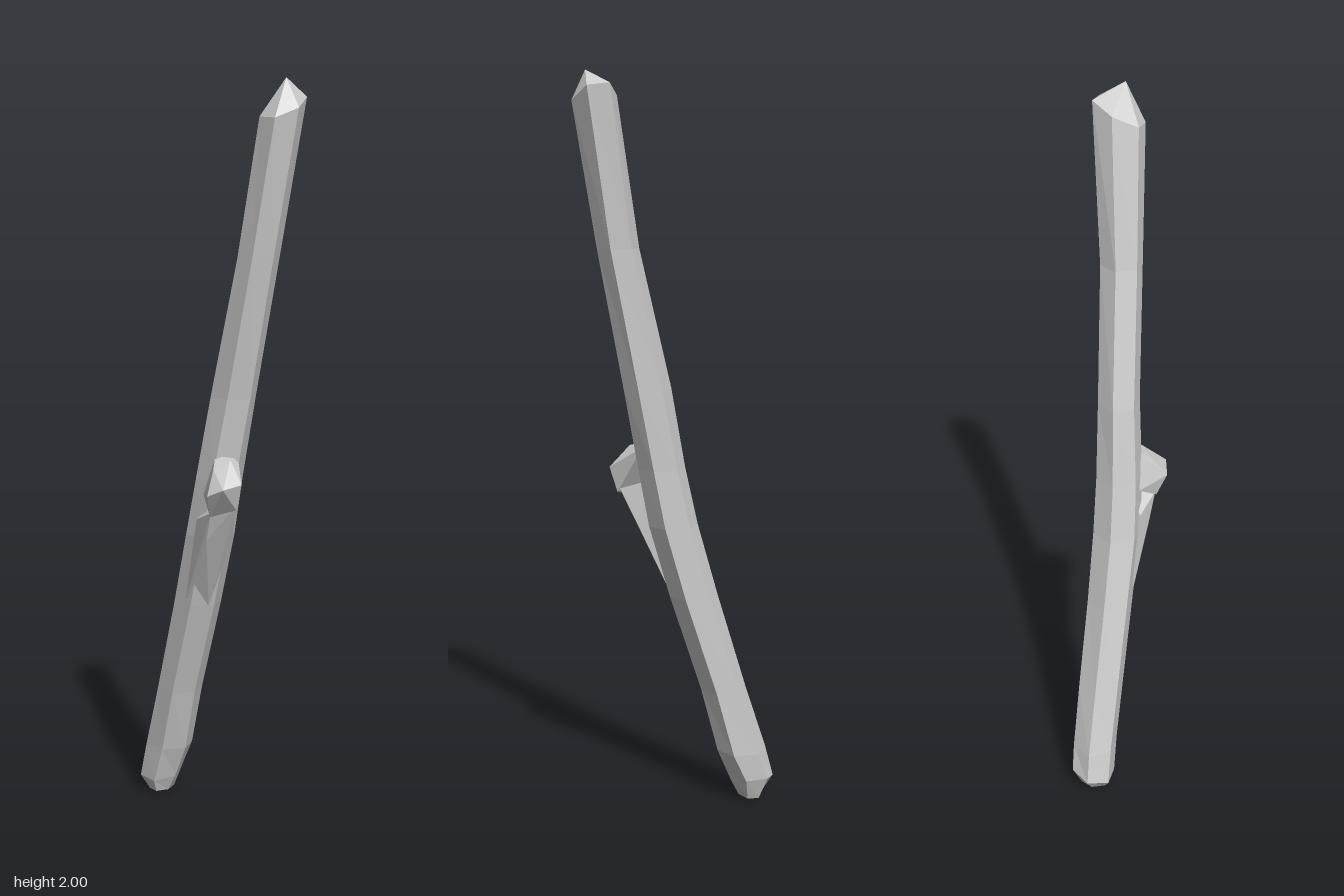
import * as THREE from 'three';
import { ConvexGeometry } from 'three/addons/geometries/ConvexGeometry.js';

const SIDES = 6;
const PHASE = 0.2;

// Extents of the branch at each height: y, xMin, xMax, zMin, zMax, tilt (back raised)
const RINGS = [
  [0.01, -0.245, -0.185, -0.10, -0.02, 0],
  [0.06, -0.28, -0.16, -0.125, -0.005, 0.015],
  [0.15, -0.257, -0.12, -0.123, 0.0, 0],
  [0.33, -0.20, -0.075, -0.11, 0.015, 0],
  [0.60, -0.122, 0.01, -0.088, 0.038, 0],
  [0.80, -0.068, 0.065, -0.075, 0.055, 0],
  [0.96, -0.032, 0.095, -0.068, 0.055, 0],
  [1.18, 0.01, 0.138, -0.065, 0.045, 0],
  [1.55, 0.10, 0.21, -0.063, 0.045, 0],
  [1.93, 0.165, 0.278, -0.085, 0.045, 0.035],
];

function ringPoints([y, x0, x1, z0, z1, tilt]) {
  const unit = Array.from({ length: SIDES }, (_, i) => {
    const a = PHASE + (i / SIDES) * Math.PI * 2;
    return [Math.cos(a), Math.sin(a)];
  });
  // Scale the polygon so that it fills the given extents
  const mx = Math.max(...unit.map((p) => p[0]));
  const mz = Math.max(...unit.map((p) => p[1]));
  return unit.map(([c, s]) => [
    (x0 + x1) / 2 + (c / mx) * (x1 - x0) / 2,
    y - tilt * s,
    (z0 + z1) / 2 + (s / mz) * (z1 - z0) / 2,
  ]);
}

function loft(rings, bottom, top) {
  const pts = rings.map(ringPoints);
  const pos = [];
  const tri = (a, b, c) => pos.push(...a, ...b, ...c);
  const last = pts.length - 1;
  for (let i = 0; i < SIDES; i++) {
    const j = (i + 1) % SIDES;
    for (let r = 0; r < last; r++) {
      const a = pts[r][i], b = pts[r][j], c = pts[r + 1][j], d = pts[r + 1][i];
      tri(a, d, c);
      tri(a, c, b);
    }
    tri(bottom, pts[0][i], pts[0][j]);
    tri(top, pts[last][j], pts[last][i]);
  }
  const g = new THREE.BufferGeometry();
  g.setAttribute('position', new THREE.Float32BufferAttribute(pos, 3));
  g.computeVertexNormals();
  return g;
}

export function createModel() {
  const group = new THREE.Group();
  group.name = 'stick';
  const material = new THREE.MeshStandardMaterial({ color: 0xcccccc, flatShading: true });

  // Long, slightly bent branch
  const branch = new THREE.Mesh(loft(RINGS, [-0.21, 0, -0.06], [0.24, 2, -0.005]), material);
  branch.name = 'branch';
  group.add(branch);

  // Broken side shoot, swelling out of the branch
  const shoot = [
    [0.087, 0.93, 0.124], [0.134, 0.95, 0.118], [0.156, 0.96, 0.065],
    [0.105, 1.02, 0.045], [0.052, 1.03, 0.04], [0.075, 0.995, 0.08],
    [0.135, 0.89, 0.06], [0.075, 0.87, 0.095], [0.09, 1.02, -0.01],
    [0.02, 0.92, 0.05],
  ];
  // Ridge leading up to the shoot
  const ridge = [
    [0.0, 0.6, 0.0], [-0.05, 0.62, 0.038], [0.05, 0.8, 0.078], [0.095, 0.81, 0.02],
    [0.075, 0.88, 0.092], [0.13, 0.9, 0.055], [0.0, 0.85, 0.055], [0.05, 0.93, 0.0],
  ];
  for (const [name, list] of [['sideShoot', shoot], ['shootRidge', ridge]]) {
    const geometry = new ConvexGeometry(list.map((p) => new THREE.Vector3(...p)));
    const mesh = new THREE.Mesh(geometry, material);
    mesh.name = name;
    group.add(mesh);
  }
  return group;
}
